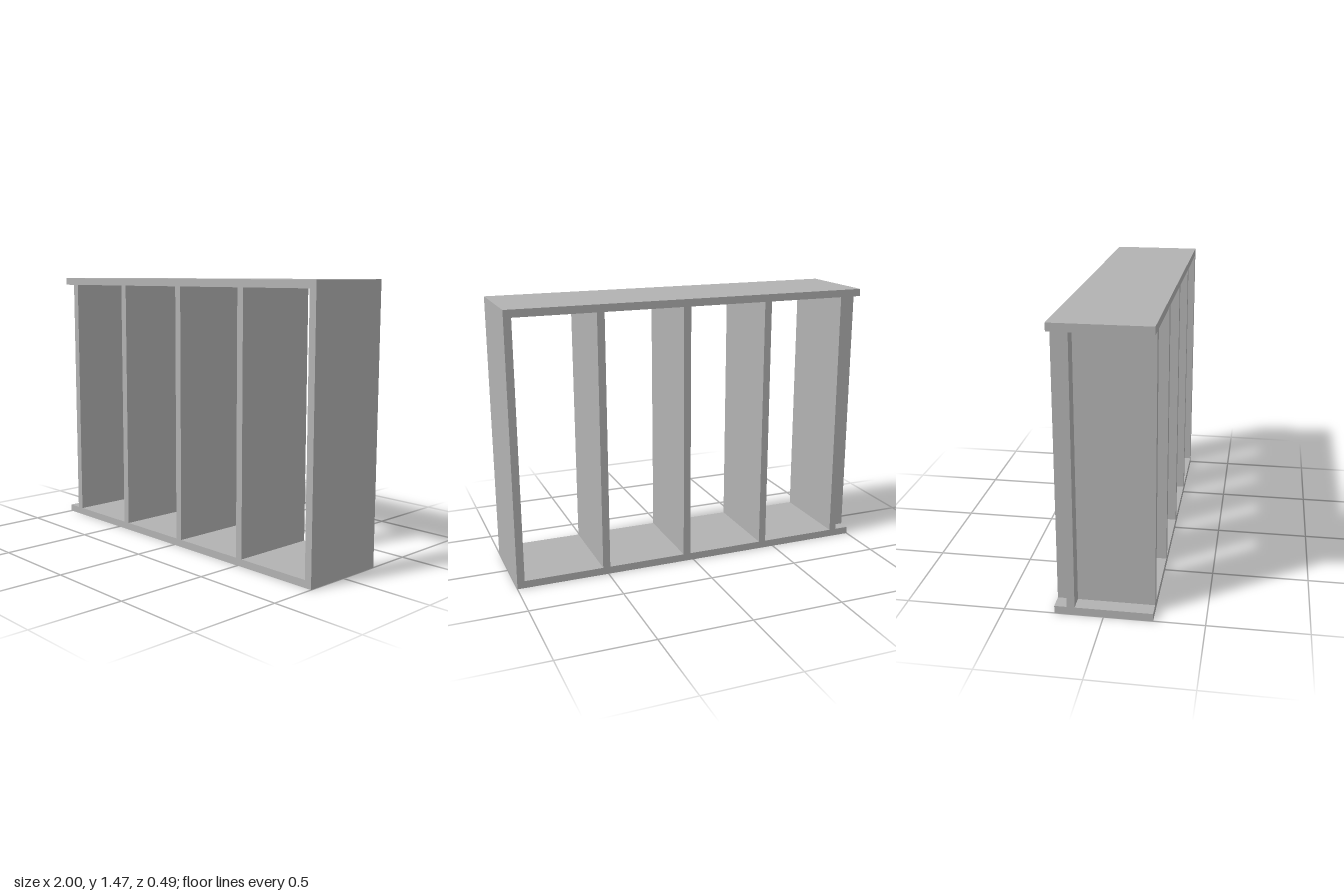
import * as THREE from 'three';

export function createModel() {
  const group = new THREE.Group();
  const grey = new THREE.MeshStandardMaterial({ color: 0xb2b2b2 });
  grey.name = 'grey';

  const length = 2, height = 1.47, depth = 0.49, board = 0.04;
  const studHeight = height - 2 * board;

  const addBoard = (name, w, h, d, x, y, z) => {
    const mesh = new THREE.Mesh(new THREE.BoxGeometry(w, h, d), grey);
    mesh.name = name;
    mesh.position.set(x, y, z);
    group.add(mesh);
  };

  // horizontal plates
  addBoard('bottomPlate', length, board, depth, 0, board / 2, 0);
  addBoard('topPlate', length, board, depth, 0, height - board / 2, 0);

  // upright studs, evenly spaced
  for (let i = 0; i < 5; i++) {
    addBoard('stud' + (i + 1), board, studHeight, depth, -0.9 + i * 0.47, height / 2, 0);
  }

  // narrow backing strip on the outside of the right end stud
  addBoard('endStrip', 0.08, studHeight, board, -0.96, height / 2, -0.163);

  return group;
}
